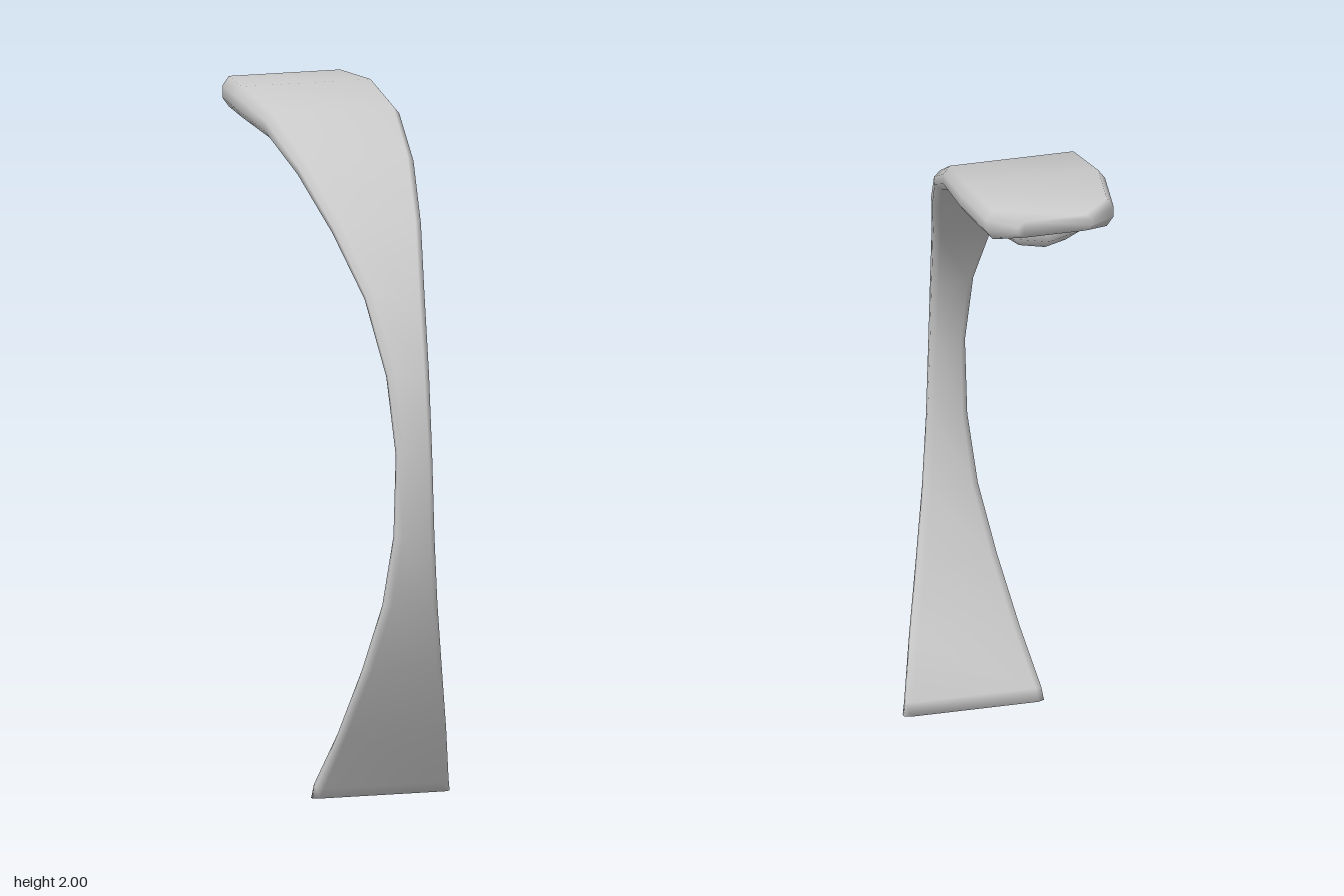
import * as THREE from 'three';

// Stations from foot to tip: [outer z, outer y, inner z, inner y, half width]
const STATIONS = [
  [0.305, 0.0, 0.275, 0.0, 0.212],
  [0.32, 0.03, 0.275, 0.045, 0.205],
  [0.41, 0.205, 0.37, 0.2, 0.165],
  [0.5, 0.405, 0.455, 0.4, 0.12],
  [0.57, 0.605, 0.525, 0.6, 0.082],
  [0.607, 0.81, 0.56, 0.81, 0.06],
  [0.607, 1.05, 0.56, 1.05, 0.053],
  [0.55, 1.28, 0.507, 1.27, 0.063],
  [0.432, 1.5, 0.395, 1.48, 0.09],
  [0.272, 1.685, 0.24, 1.65, 0.135],
  [0.08, 1.845, 0.065, 1.79, 0.178],
  [-0.13, 1.958, -0.135, 1.88, 0.207],
  [-0.36, 2.0, -0.36, 1.91, 0.219],
  [-0.55, 2.0, -0.55, 1.91, 0.192],
  [-0.605, 1.98, -0.605, 1.93, 0.112],
];

// Closed strip with bevelled edges swept through the stations
function sweptStrip(stations) {
  const pos = [], index = [], n = 8;
  for (const [zo, yo, zi, yi, w] of stations) {
    const b = Math.min(0.02, w * 0.3);
    const half = [[w - b, 0], [w, 0.3], [w, 0.7], [w - b, 1]];
    const ring = [...half, ...half.map(([x, t]) => [-x, t]).reverse()];
    for (const [x, t] of ring) pos.push(x, yo + (yi - yo) * t, zo + (zi - zo) * t);
  }
  for (let i = 0; i < stations.length - 1; i++) {
    for (let j = 0; j < n; j++) {
      const a = i * n + j, b = i * n + (j + 1) % n;
      index.push(a, b, a + n, b, b + n, a + n);
    }
  }
  // End caps
  const last = (stations.length - 1) * n;
  for (let j = 1; j < n - 1; j++) {
    index.push(0, j + 1, j, last, last + j, last + j + 1);
  }
  const g = new THREE.BufferGeometry();
  g.setAttribute('position', new THREE.Float32BufferAttribute(pos, 3));
  g.setIndex(index);
  g.computeVertexNormals();
  return g;
}

export function createModel() {
  const group = new THREE.Group();
  const material = new THREE.MeshStandardMaterial({ color: 0xcccccc });

  // Curved post flowing into the lamp head
  const post = new THREE.Mesh(sweptStrip(STATIONS), material);
  post.name = 'curvedPostAndHead';
  group.add(post);

  // Shallow oval lens under the head
  const profile = [[0, -0.08], [0.68, -0.07], [1, -0.03], [0.88, 0.005], [0.8, 0.02]]
    .map(([r, y]) => new THREE.Vector2(r, y));
  const lens = new THREE.Mesh(new THREE.LatheGeometry(profile, 8), material);
  lens.name = 'lampLens';
  lens.scale.set(0.145, 1, 0.163);
  lens.position.set(0, 1.91, -0.387);
  group.add(lens);

  return group;
}
